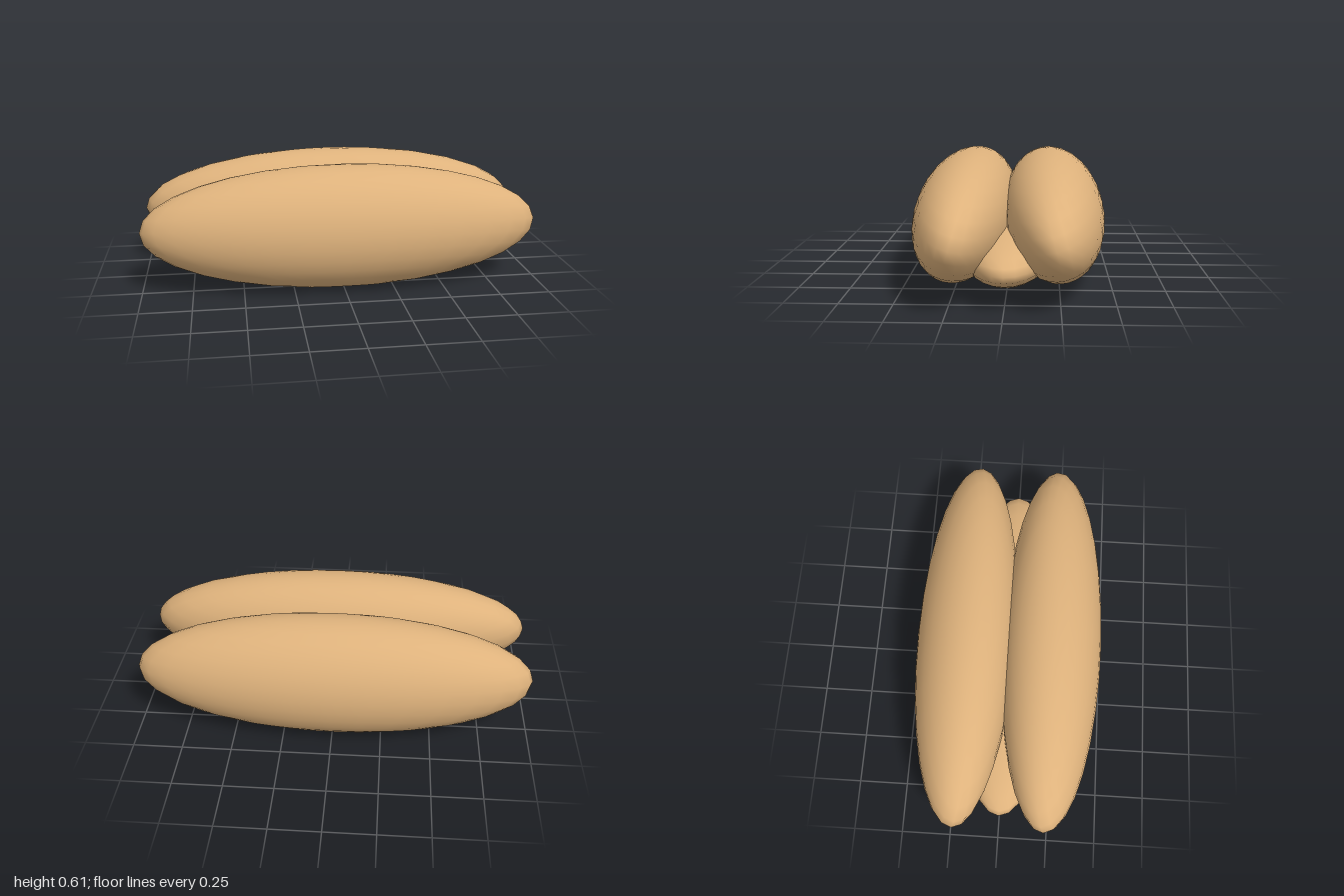
import * as THREE from 'three';

export function createModel() {
  const model = new THREE.Group();
  const crust = new THREE.MeshStandardMaterial({ color: 0xdeb27c });
  crust.name = 'toasted tan';
  const sphere = new THREE.SphereGeometry(1, 32, 16);

  // Stretched ellipsoid, tilted about its long axis
  function loaf(name, radii, y, z, tilt) {
    const mesh = new THREE.Mesh(sphere, crust);
    mesh.name = name;
    mesh.scale.set(...radii);
    mesh.position.set(0, y, z);
    mesh.rotation.x = tilt;
    model.add(mesh);
  }

  // Two bun halves leaning together at the top
  for (const side of [1, -1]) {
    loaf(side > 0 ? 'frontBunHalf' : 'backBunHalf', [1, 0.308, 0.256], 0.306, side * 0.225, -side * 0.27);
  }

  // Flatter base joining the halves underneath
  loaf('bunBase', [0.912, 0.161, 0.26], 0.174, 0, 0);

  return model;
}
